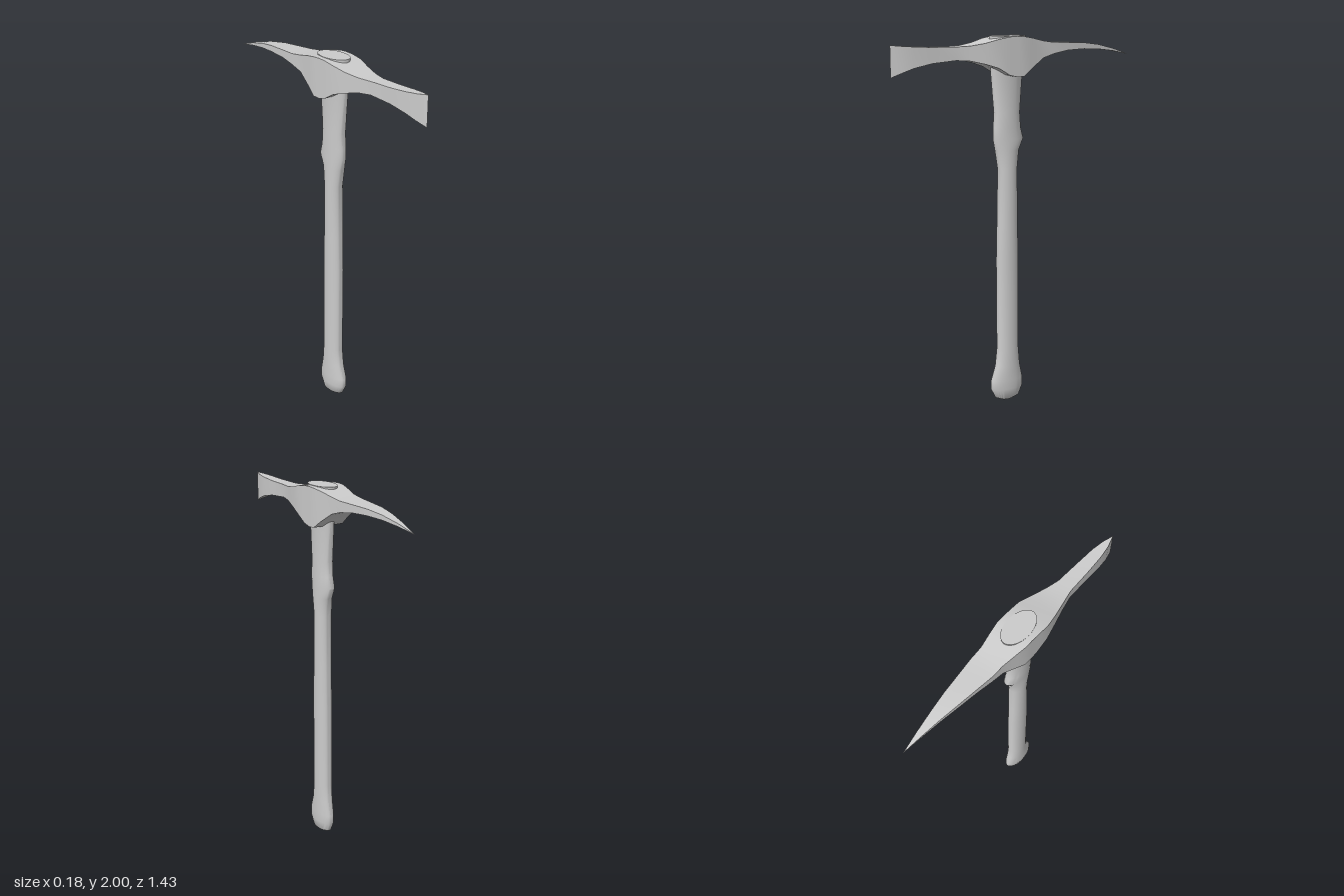
import * as THREE from 'three';
import { toCreasedNormals } from 'three/addons/utils/BufferGeometryUtils.js';

const material = new THREE.MeshStandardMaterial({ color: 0xcccccc });

// Head: rectangular sections from the vertical blade edge to the rear point
// [z, half width, bottom y, top y]
const HEAD = [
  [0.715, 0, 1.805, 1.965], [0.66, 0.018, 1.828, 1.96], [0.6, 0.028, 1.85, 1.956],
  [0.5, 0.034, 1.871, 1.951], [0.37, 0.039, 1.882, 1.95], [0.3, 0.055, 1.878, 1.953],
  [0.22, 0.075, 1.86, 1.966], [0.15, 0.09, 1.838, 1.985], [0.085, 0.09, 1.8, 1.996],
  [0.04, 0.09, 1.79, 1.998], [0, 0.09, 1.792, 1.996], [-0.05, 0.082, 1.83, 1.988],
  [-0.13, 0.068, 1.882, 1.97], [-0.2, 0.066, 1.903, 1.961], [-0.29, 0.056, 1.917, 1.958],
  [-0.4, 0.044, 1.921, 1.954], [-0.5, 0.03, 1.917, 1.942], [-0.61, 0.015, 1.904, 1.918],
  [-0.715, 0, 1.884, 1.886],
];

// Handle: elliptical sections [y, half width in x, rear z, front z]
const HANDLE = [
  [0.004, 0.02, 0.025, 0.095], [0.02, 0.036, -0.015, 0.13], [0.07, 0.043, -0.037, 0.155],
  [0.12, 0.043, -0.038, 0.155], [0.2, 0.043, -0.02, 0.128], [0.3, 0.043, -0.011, 0.116],
  [0.8, 0.043, -0.01, 0.118], [1.0, 0.043, -0.006, 0.113], [1.3, 0.043, -0.003, 0.107],
  [1.4, 0.043, -0.014, 0.124], [1.46, 0.043, -0.042, 0.136], [1.52, 0.043, -0.026, 0.136],
  [1.6, 0.043, -0.02, 0.13], [1.8, 0.043, -0.036, 0.148], [1.9, 0.053, -0.042, 0.152],
  [2.0, 0.062, -0.053, 0.155],
];

function buildHead() {
  const positions = [];
  const index = [];
  for (const [z, w, bottom, top] of HEAD) {
    positions.push(-w, bottom, z, w, bottom, z, w, top, z, -w, top, z);
  }
  for (let i = 0; i < HEAD.length - 1; i++) {
    for (let j = 0; j < 4; j++) {
      const a = i * 4 + j, b = i * 4 + (j + 1) % 4;
      index.push(a, a + 4, b, b, a + 4, b + 4);
    }
  }
  const geometry = new THREE.BufferGeometry();
  geometry.setAttribute('position', new THREE.Float32BufferAttribute(positions, 3));
  geometry.setIndex(index);
  return toCreasedNormals(geometry, 0.6);
}

function buildHandle() {
  // Unit cylinder whose rows are reshaped to the ellipses
  const rows = HANDLE.length - 1;
  const geometry = new THREE.CylinderGeometry(1, 1, 1, 32, rows);
  const p = geometry.attributes.position;
  for (let i = 0; i < p.count; i++) {
    const [y, w, rear, front] = HANDLE[Math.round((p.getY(i) + 0.5) * rows)];
    p.setXYZ(i, p.getX(i) * w, y, (rear + front) / 2 + p.getZ(i) * (front - rear) / 2);
  }
  return toCreasedNormals(geometry, 0.7);
}

export function createModel() {
  const group = new THREE.Group();
  group.name = 'pickaxe';
  const parts = { head: buildHead(), handle: buildHandle() };
  for (const [name, geometry] of Object.entries(parts)) {
    const mesh = new THREE.Mesh(geometry, material);
    mesh.name = name;
    group.add(mesh);
  }
  return group;
}
